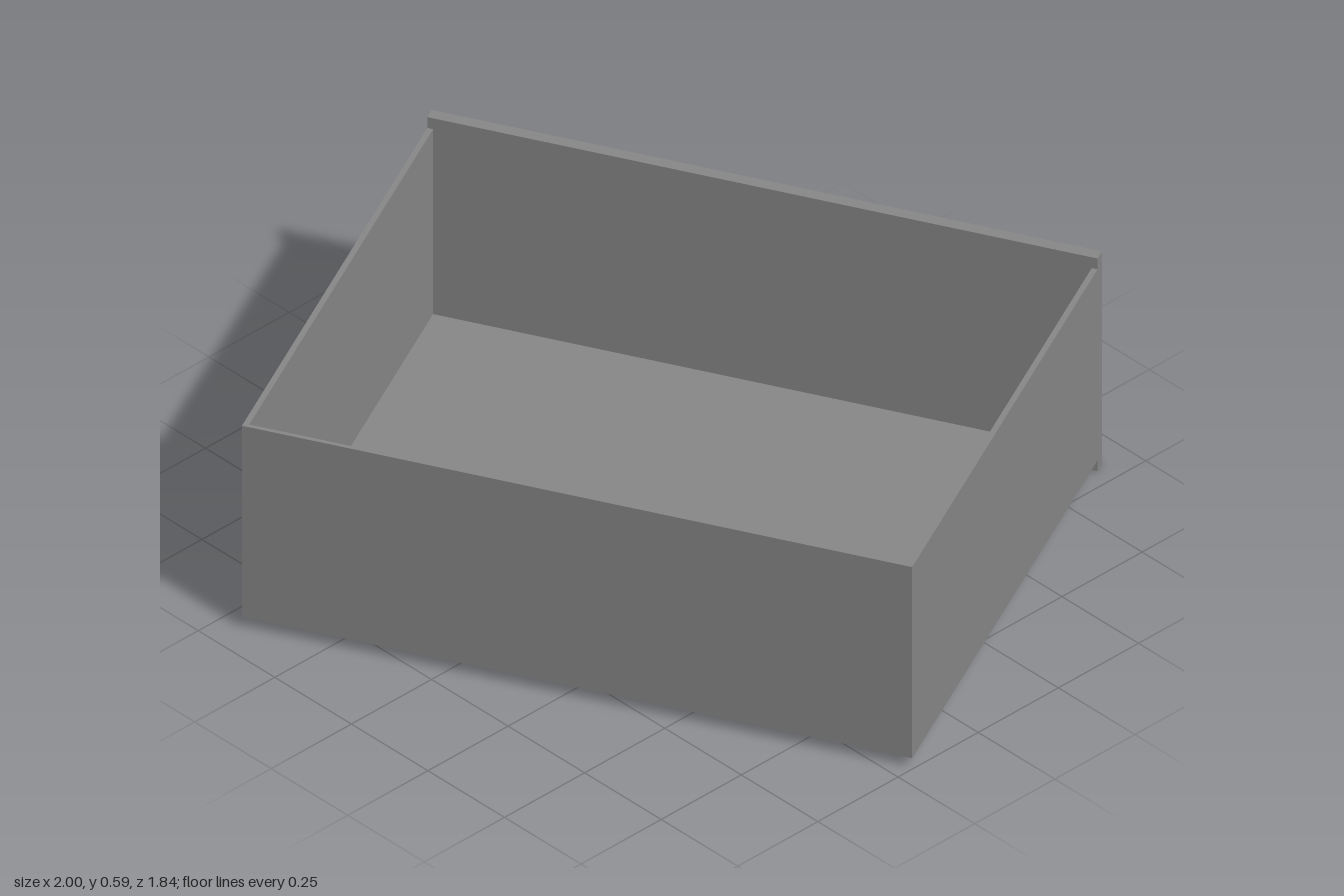
import * as THREE from 'three';

const material = new THREE.MeshStandardMaterial({ color: 0x888888 });

// Overall drawer sizes, in its own axes (pull side towards -z)
const WIDTH = 1.608, DEPTH = 1.257, HEIGHT = 0.59;
const PANEL = 0.03, SIDE = 0.014, BACK = 0.01, FLOOR = 0.017;
const BOX_BOTTOM = 0.03, BOX_TOP = 0.56;
const HANDLE_Y = 0.345;

// Box given by its minimum and maximum corners
function board(name, min, max) {
  const size = max.map((v, i) => v - min[i]);
  const mesh = new THREE.Mesh(new THREE.BoxGeometry(...size), material);
  mesh.position.set(...max.map((v, i) => (v + min[i]) / 2));
  mesh.name = name;
  return mesh;
}

// Round bar following a shallow horizontal arc, its ends sunk in the panel
function pullHandle(faceZ) {
  const radius = 0.256, offset = 0.112, half = THREE.MathUtils.degToRad(66);
  const points = [];
  for (let i = 0; i <= 16; i++) {
    const a = half * (i / 8 - 1);
    points.push(new THREE.Vector3(radius * Math.sin(a), HANDLE_Y, faceZ + offset - radius * Math.cos(a)));
  }
  const curve = new THREE.CatmullRomCurve3(points);
  const mesh = new THREE.Mesh(new THREE.TubeGeometry(curve, 40, 0.012, 16), material);
  mesh.name = 'handle';
  return mesh;
}

export function createModel() {
  const drawer = new THREE.Group();
  drawer.name = 'drawer';
  const hx = WIDTH / 2, hz = DEPTH / 2;
  const boxZ = -hz + PANEL, innerX = hx - SIDE;

  // Face panel, taller than the box behind it
  drawer.add(board('facePanel', [-hx, 0, -hz], [hx, HEIGHT, boxZ]));

  // Side walls, end wall and floor
  drawer.add(board('sideWallA', [-hx, BOX_BOTTOM, boxZ], [-innerX, BOX_TOP, hz]));
  drawer.add(board('sideWallB', [innerX, BOX_BOTTOM, boxZ], [hx, BOX_TOP, hz]));
  drawer.add(board('endWall', [-innerX, BOX_BOTTOM, hz - BACK], [innerX, BOX_TOP, hz]));
  drawer.add(board('floor', [-innerX, BOX_BOTTOM, boxZ], [innerX, BOX_BOTTOM + FLOOR, hz - BACK]));

  drawer.add(pullHandle(-hz));

  // The drawer stands turned about the vertical
  drawer.rotation.y = THREE.MathUtils.degToRad(26.4);

  const model = new THREE.Group();
  model.name = 'model';
  model.add(drawer);
  return model;
}
